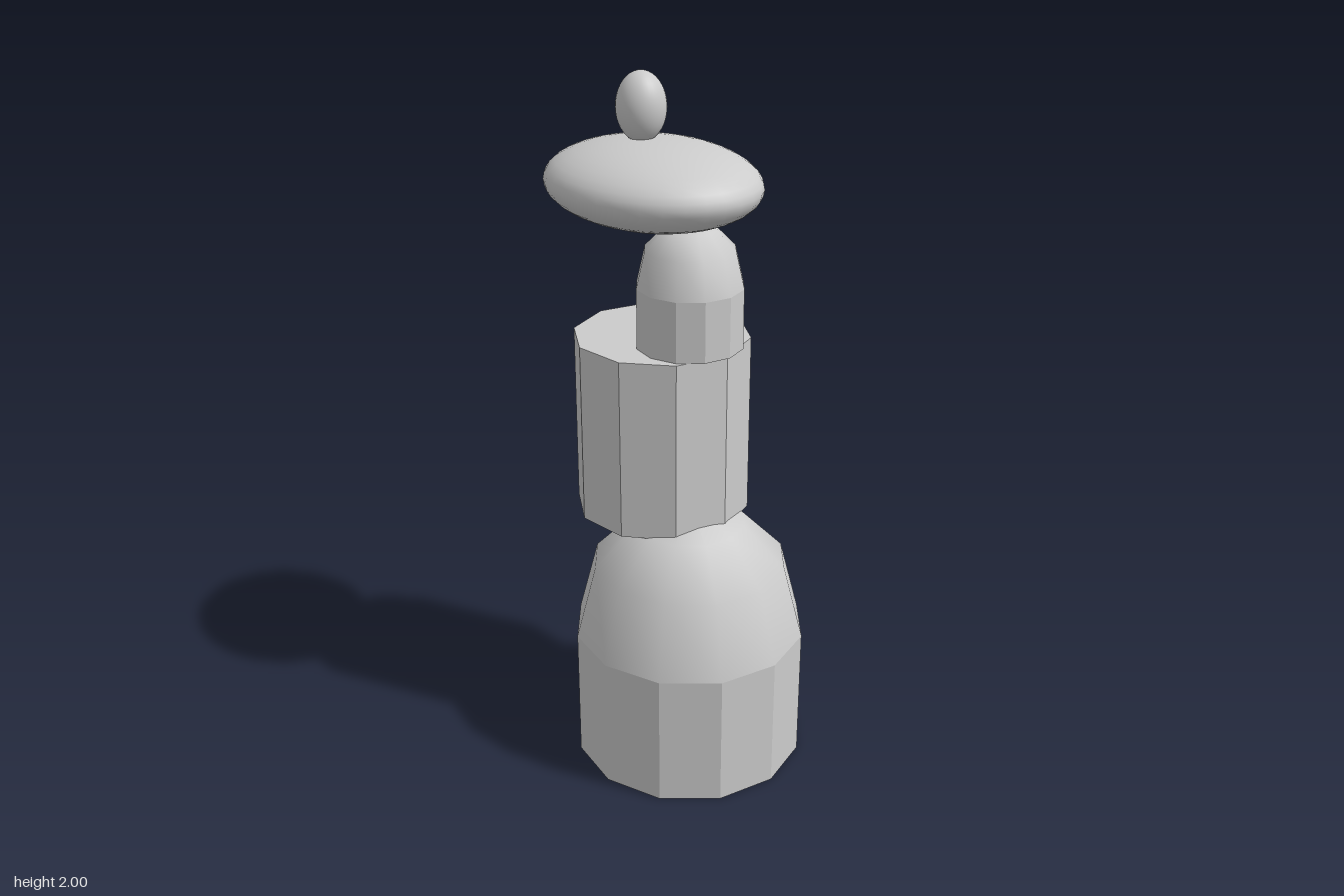
import * as THREE from 'three';

const smooth = new THREE.MeshStandardMaterial({ color: 0xcccccc });
const faceted = new THREE.MeshStandardMaterial({ color: 0xcccccc, flatShading: true });

export function createModel() {
  const model = new THREE.Group();

  const add = (name, geometry, material, x, y, z, parent = model) => {
    const mesh = new THREE.Mesh(geometry, material);
    mesh.name = name;
    mesh.position.set(x, y, z);
    parent.add(mesh);
    return mesh;
  };

  // Upright prism standing on y, with corners on the x axis
  const prism = (name, radius, height, sides, x, y, z, parent) => {
    const geometry = new THREE.CylinderGeometry(radius, radius, height, sides);
    geometry.rotateY(Math.PI / 2);
    return add(name, geometry, faceted, x, y + height / 2, z, parent);
  };

  // Twelve-sided drum with a smooth dome; profile gives [radius, height] above the drum
  const domedDrum = (name, radius, height, profile, x, y, z) => {
    const group = new THREE.Group();
    group.name = name;
    group.position.set(x, y, z);
    prism(name + 'Drum', radius, height, 12, 0, 0, 0, group);
    const points = [[radius, 0], ...profile].map(([r, h]) => new THREE.Vector2(r, h));
    add(name + 'Dome', new THREE.LatheGeometry(points, 12), smooth, 0, height, 0, group);
    model.add(group);
  };

  const ellipsoid = (name, rx, ry, rz, x, y, z) => {
    const geometry = new THREE.SphereGeometry(1, 32, 20);
    geometry.scale(rx, ry, rz);
    add(name, geometry, smooth, x, y, z);
  };

  // Stack from the ground up, each piece a little off centre
  domedDrum('base', 0.34, 0.4, [[0.282, 0.22], [0.162, 0.342], [0, 0.39]], 0.065, 0, 0);
  prism('middleBlock', 0.253, 0.53, 10, -0.08, 0.74, -0.033);
  domedDrum('neck', 0.151, 0.172, [[0.127, 0.103], [0.074, 0.157], [0, 0.178]], 0.037, 1.27, -0.026);
  ellipsoid('disc', 0.325, 0.115, 0.267, -0.081, 1.71, -0.001);
  ellipsoid('knob', 0.07, 0.095, 0.068, -0.121, 1.905, 0);

  return model;
}
